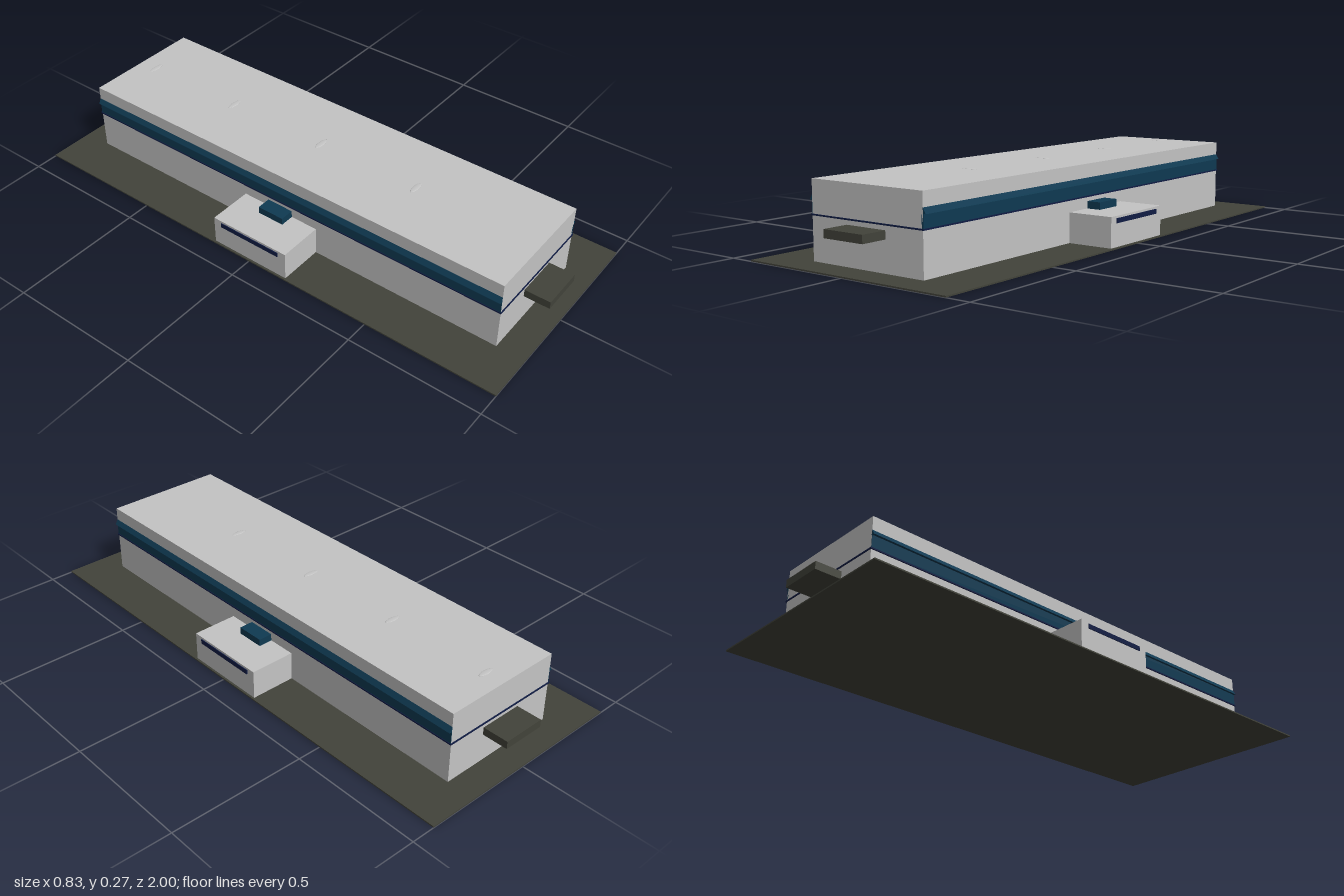
import * as THREE from 'three';

const mat = (name, color) => {
  const m = new THREE.MeshStandardMaterial({ color });
  m.name = name;
  return m;
};

export function createModel() {
  const concrete = mat('pale grey concrete', 0xc4c4c4);
  const dark = mat('dark grey paving', 0x42433a);
  const glass = mat('blue glass', 0x0f3a52);
  const trim = mat('navy trim', 0x101c44);

  const model = new THREE.Group();
  model.name = 'longBuilding';

  const add = (name, geometry, material) => {
    const mesh = new THREE.Mesh(geometry, material);
    mesh.name = name;
    model.add(mesh);
    return mesh;
  };
  // Box given by its lower and upper limits on each axis
  const box = (name, material, x0, x1, y0, y1, z0, z1) =>
    add(name, new THREE.BoxGeometry(x1 - x0, y1 - y0, z1 - z0), material)
      .position.set((x0 + x1) / 2, (y0 + y1) / 2, (z0 + z1) / 2);

  // Ground slab and main hall
  box('groundSlab', dark, -0.413, 0.413, 0, 0.005, -1, 1);
  box('mainHall', concrete, -0.235, 0.235, 0.002, 0.27, -0.895, 0.895);
  box('trimLine', trim, -0.239, 0.239, 0.153, 0.158, -0.898, 0.898);

  for (const s of [1, -1]) {
    const side = s > 0 ? 'left' : 'right';
    const sideBox = (name, material, x0, x1, ...rest) =>
      box(side + name, material, Math.min(s * x0, s * x1), Math.max(s * x0, s * x1), ...rest);

    // Window band with a sloping sunshade above it
    sideBox('WindowBand', glass, 0.23, 0.237, 0.158, 0.204, -0.895, 0.895);
    const profile = new THREE.Shape([
      new THREE.Vector2(s * 0.233, 0.202),
      new THREE.Vector2(s * 0.246, 0.202),
      new THREE.Vector2(s * 0.235, 0.221),
    ]);
    const shade = new THREE.ExtrudeGeometry(profile, { depth: 1.79, bevelEnabled: false });
    add(side + 'Sunshade', shade.translate(0, 0, -0.895), glass);

    // Side wing with a window strip and a rooflight
    sideBox('Wing', concrete, 0.23, 0.405, 0.002, 0.112, -0.16, 0.16);
    sideBox('WingWindow', trim, 0.402, 0.408, 0.087, 0.104, -0.127, 0.127);
    sideBox('WingRooflight', glass, 0.23, 0.288, 0.111, 0.138, -0.053, 0.053);

    // Entrance canopy at each end
    box(s > 0 ? 'frontCanopy' : 'backCanopy', dark, -0.082, 0.082, 0.11, 0.138,
      s > 0 ? 0.89 : -0.99, s > 0 ? 0.99 : -0.89);
  }

  // Very shallow roof vents
  for (const z of [-0.82, -0.41, 0, 0.41]) {
    const vent = add('roofVent', new THREE.SphereGeometry(0.032, 16, 6, 0, Math.PI * 2, 0, Math.PI / 2), concrete);
    vent.scale.set(1, 0.06, 0.35);
    vent.position.set(0, 0.27, z);
  }
  return model;
}
